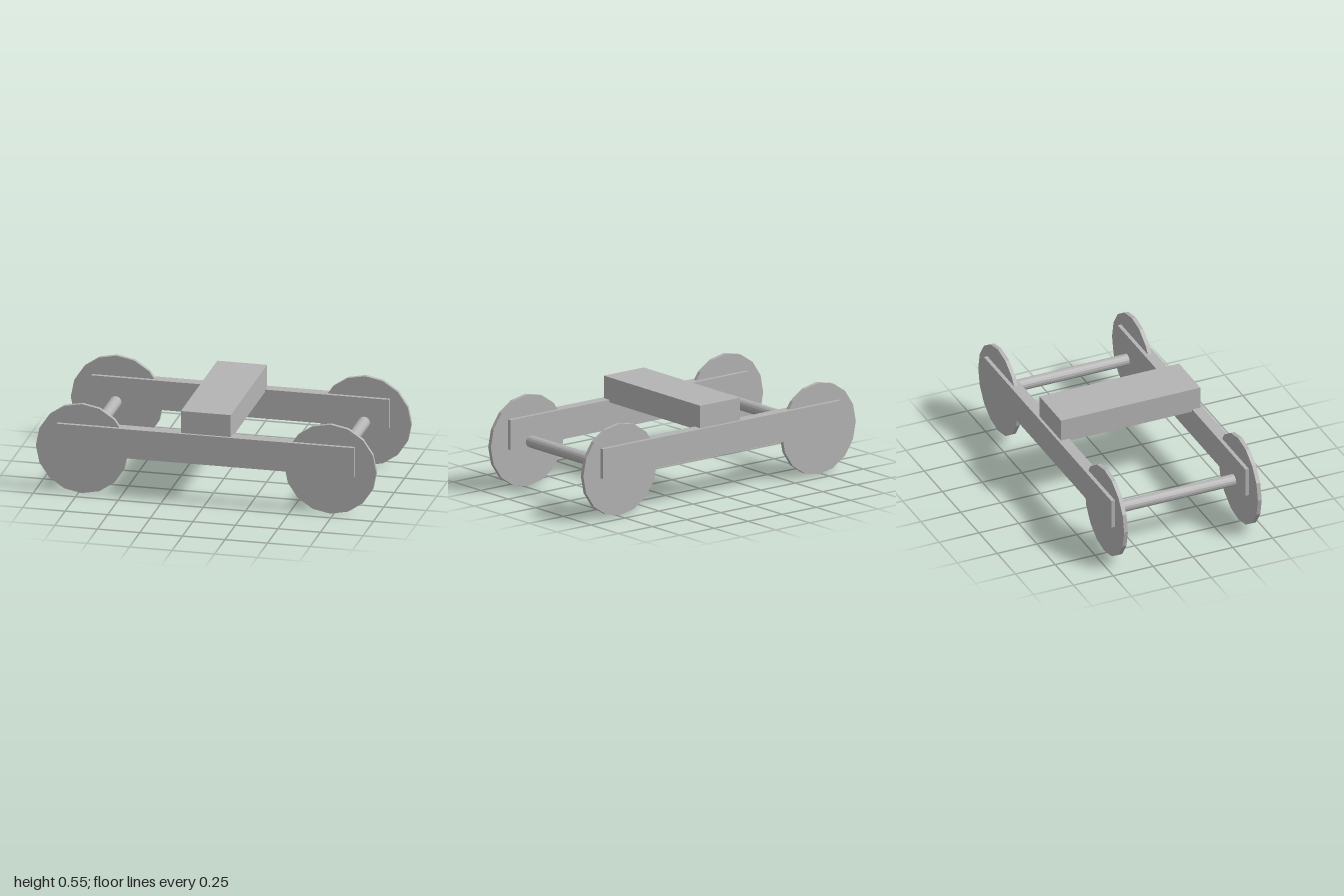
import * as THREE from 'three';

export function createModel() {
  const model = new THREE.Group();
  model.name = 'wheeledChassis';
  const grey = new THREE.MeshStandardMaterial({ color: 0xb4b4b4, flatShading: true });
  grey.name = 'plain grey';

  const add = (name, geometry, x, y, z) => {
    const mesh = new THREE.Mesh(geometry, grey);
    mesh.name = name;
    mesh.position.set(x, y, z);
    model.add(mesh);
  };

  // Cylinders lie along z
  const wheel = new THREE.CylinderGeometry(0.27, 0.27, 0.024, 16).rotateX(Math.PI / 2);
  const axle = new THREE.CylinderGeometry(0.035, 0.035, 0.76, 16).rotateX(Math.PI / 2);
  const rail = new THREE.BoxGeometry(1.75, 0.176, 0.068);

  // Side rails, each with a wheel set into both ends
  for (const [side, z] of [['front', 0.42], ['back', -0.42]]) {
    add(`${side}Rail`, rail, 0, 0.329, z);
    add(`${side}LeftWheel`, wheel, 0.73, 0.27, z);
    add(`${side}RightWheel`, wheel, -0.73, 0.27, z);
  }

  // Axles between the rails
  add('leftAxle', axle, 0.73, 0.27, 0);
  add('rightAxle', axle, -0.73, 0.27, 0);

  // Cross beam resting in the rail tops
  add('crossBeam', new THREE.BoxGeometry(0.293, 0.147, 0.875), 0, 0.476, 0);

  return model;
}
